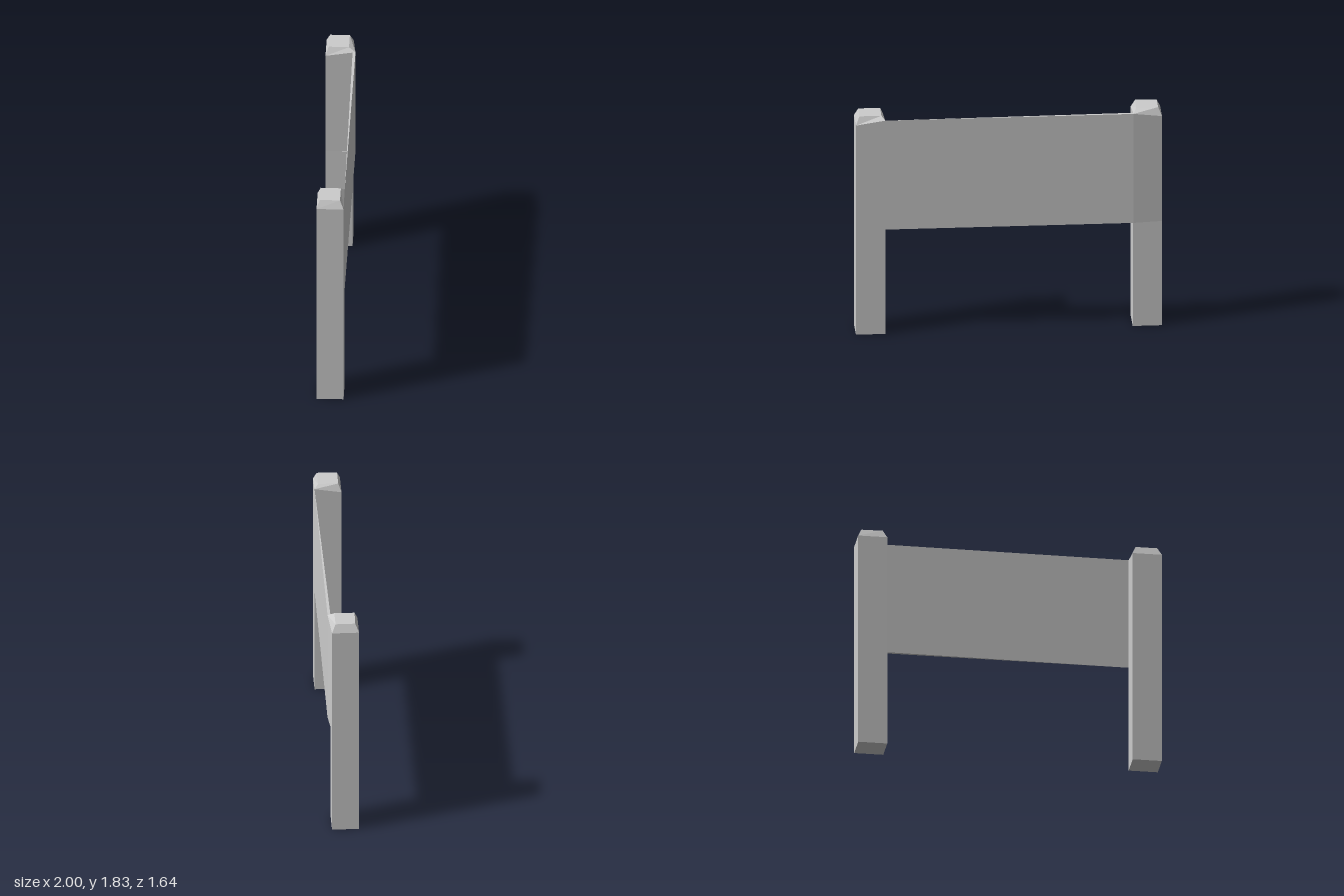
import * as THREE from 'three';

// Closed solid through stacked rings of [x, y, z] corners, counter-clockwise from above
function loft(rings) {
  const pos = [];
  const tri = (a, b, c) => pos.push(...a, ...b, ...c);
  const n = rings[0].length;
  for (let r = 0; r < rings.length - 1; r++) {
    const a = rings[r], b = rings[r + 1];
    for (let i = 0; i < n; i++) {
      const j = (i + 1) % n;
      tri(a[i], a[j], b[j]);
      tri(a[i], b[j], b[i]);
    }
  }
  const low = rings[0], top = rings[rings.length - 1];
  for (let i = 1; i < n - 1; i++) {
    tri(low[0], low[i + 1], low[i]);
    tri(top[0], top[i], top[i + 1]);
  }
  const g = new THREE.BufferGeometry();
  g.setAttribute('position', new THREE.Float32BufferAttribute(pos, 3));
  g.computeVertexNormals();
  return g;
}

// Lifts [x, z] corners to one height, or to one height per corner
const ring = (pts, y) => pts.map(([x, z], i) => [x, Array.isArray(y) ? y[i] : y, z]);

export function createModel() {
  const model = new THREE.Group();
  const grey = new THREE.MeshStandardMaterial({ color: 0xcccccc });
  grey.name = 'grey';
  const add = (name, rings) => {
    const mesh = new THREE.Mesh(loft(rings), grey);
    mesh.name = name;
    model.add(mesh);
  };

  const bottom = 0.88, top = 1.8, shoulder = 1.765, peak = 1.83;

  // Near post with bevelled cap; its inner front corner meets the panel
  const nearFoot = [[-1, 0.655], [-0.87, 0.82], [-0.69, 0.68], [-0.82, 0.515]];
  const nearCap = [[-0.96, 0.655], [-0.865, 0.78], [-0.73, 0.675], [-0.825, 0.55]];
  add('nearPost', [
    ring(nearFoot, 0),
    ring(nearFoot, [shoulder, shoulder, top, shoulder]),
    ring(nearCap, peak),
  ]);

  // Far post; above the panel's lower edge its front corner steps forward
  const farFoot = [[0.69, -0.68], [0.82, -0.515], [1, -0.655], [0.87, -0.82]];
  const farUpper = farFoot.map((p, i) => (i === 1 ? [0.838, -0.5] : p));
  const farCap = [[0.73, -0.68], [0.825, -0.555], [0.96, -0.66], [0.865, -0.78]];
  add('farPost', [
    ring(farFoot, 0),
    ring(farFoot, bottom),
    ring(farUpper, bottom),
    ring(farUpper, [shoulder, top, shoulder, shoulder]),
    ring(farCap, peak),
  ]);

  // Thin panel, tapering to nothing at the near post
  const panel = [nearFoot[2], farUpper[1], farFoot[1]];
  add('panel', [ring(panel, bottom), ring(panel, top)]);

  return model;
}
